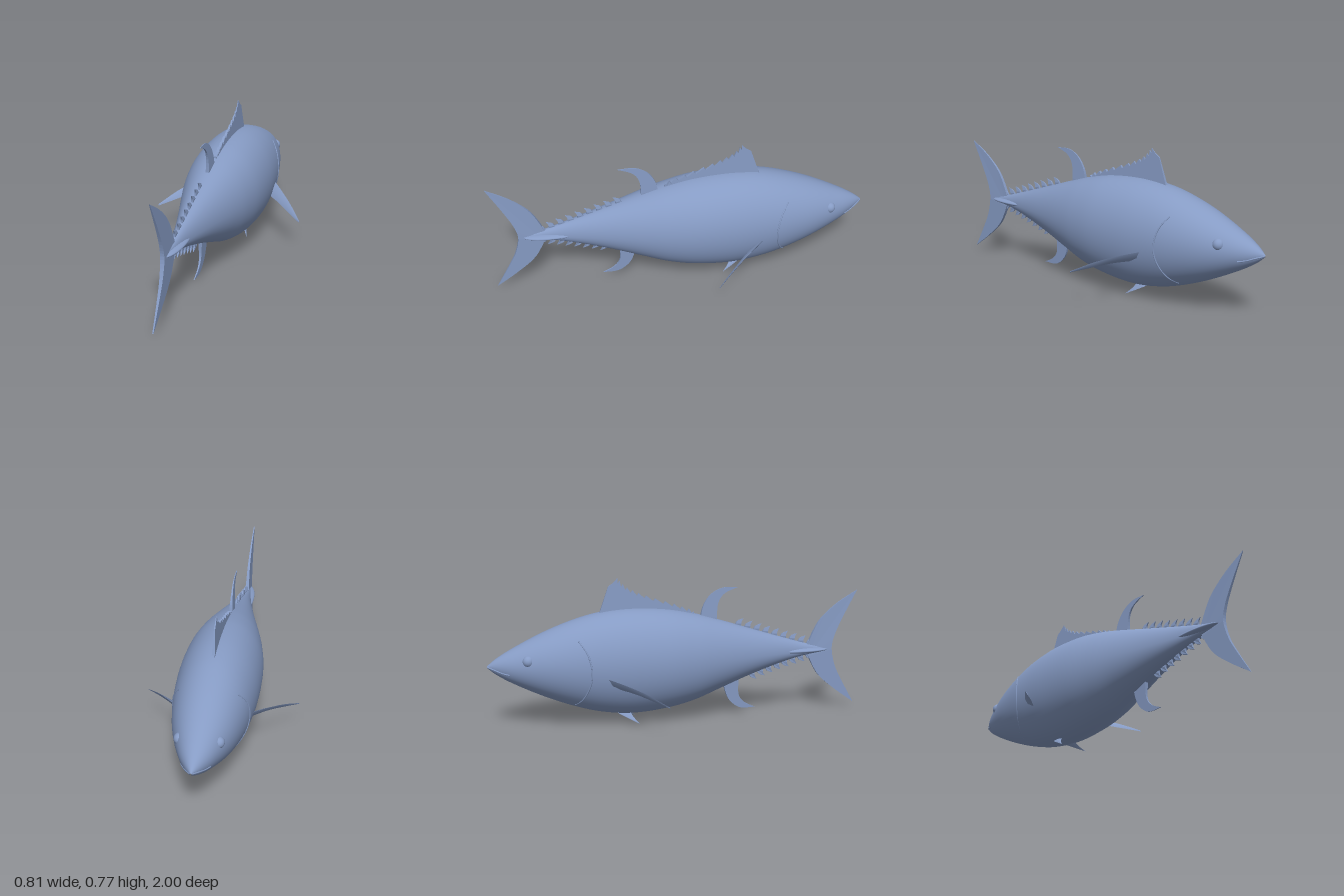
import * as THREE from 'three';
import { toCreasedNormals } from 'three/addons/utils/BufferGeometryUtils.js';

const V = (x, y, z) => new THREE.Vector3(x, y, z);
const MID = 0.335; // height of the widest line of the body

// body profile: z, top, bottom, half width
const PROFILE = [
  [-1, 0.339, 0.331, 0.003], [-0.96, 0.372, 0.297, 0.034], [-0.875, 0.422, 0.245, 0.082],
  [-0.71, 0.502, 0.165, 0.145], [-0.555, 0.56, 0.105, 0.182], [-0.42, 0.594, 0.068, 0.2],
  [-0.26, 0.609, 0.05, 0.21], [-0.07, 0.599, 0.066, 0.204], [0.08, 0.57, 0.1, 0.18],
  [0.2, 0.536, 0.146, 0.15], [0.4, 0.473, 0.222, 0.094], [0.6, 0.41, 0.285, 0.044],
  [0.73, 0.372, 0.314, 0.022], [0.85, 0.347, 0.324, 0.006],
];

// smooth interpolation of one profile column
function profile(z, k) {
  const P = PROFILE, n = P.length;
  let i = 0;
  while (i < n - 2 && z > P[i + 1][0]) i++;
  const slope = (j) => {
    const a = P[Math.max(j - 1, 0)], b = P[Math.min(j + 1, n - 1)];
    return (b[k] - a[k]) / (b[0] - a[0]);
  };
  const h = P[i + 1][0] - P[i][0], t = (z - P[i][0]) / h, t2 = t * t, t3 = t2 * t;
  return (2 * t3 - 3 * t2 + 1) * P[i][k] + (t3 - 2 * t2 + t) * h * slope(i)
    + (3 * t2 - 2 * t3) * P[i + 1][k] + (t3 - t2) * h * slope(i + 1);
}

// point on the body's flank at a given height
function onFlank(side, z, y) {
  const r = y > MID ? profile(z, 1) - MID : MID - profile(z, 2);
  const d = Math.min(1, Math.abs(y - MID) / r);
  return V(side * profile(z, 3) * Math.sqrt(1 - d * d), y, z);
}

// skin over closed rings of points
function loft(rings) {
  const m = rings[0].length, index = [];
  for (let i = 0; i < rings.length - 1; i++) {
    for (let j = 0; j < m; j++) {
      const a = i * m + j, b = i * m + (j + 1) % m;
      index.push(a, b, a + m, b, b + m, a + m);
    }
  }
  const geo = new THREE.BufferGeometry().setFromPoints(rings.flat());
  geo.setIndex(index);
  geo.computeVertexNormals();
  return geo;
}

// paired fin: lens-shaped sections between an upper and a lower edge
function blade(upper, lower, thick, side) {
  const edge = (pts) => new THREE.CatmullRomCurve3(pts.map(([x, y, z]) => V(side * x, y, z))).getPoints(12);
  const U = edge(upper), L = edge(lower);
  const mids = U.map((u, i) => u.clone().add(L[i]).multiplyScalar(0.5));
  const dir = mids[12].clone().sub(mids[0]);
  const n = dir.cross(U[0].clone().sub(L[0])).normalize();
  return toCreasedNormals(loft(U.map((u, i) => {
    const t = thick * (1 - 0.85 * i / 12);
    return [u, mids[i].clone().addScaledVector(n, t), L[i], mids[i].clone().addScaledVector(n, -t)];
  })), 0.6);
}

// median fin: outline of splines in (z, y), tapering in thickness from yBase to yTip
function medianFin(curves, yBase, yTip, thick) {
  const pts = curves.flatMap((c) => {
    const v = c.map(([z, y]) => new THREE.Vector2(z, y));
    return v.length > 2 ? new THREE.SplineCurve(v).getPoints(v.length * 4) : v;
  }).filter((p, i, all) => i === 0 || p.distanceTo(all[i - 1]) > 1e-5);
  const geo = new THREE.ExtrudeGeometry(new THREE.Shape(pts), { depth: 2, bevelEnabled: false });
  geo.translate(0, 0, -1).rotateY(-Math.PI / 2);
  const p = geo.attributes.position;
  for (let i = 0; i < p.count; i++) {
    const t = Math.min(1, Math.abs(p.getY(i) - yBase) / Math.abs(yTip - yBase));
    p.setX(i, p.getX(i) * thick * (1 - 0.8 * t));
  }
  geo.computeVertexNormals();
  return geo;
}

export function createModel() {
  const group = new THREE.Group();
  const skin = new THREE.MeshStandardMaterial({ color: 0x869bc4 });
  skin.name = 'blueGreySkin';
  const add = (name, geo) => {
    const mesh = new THREE.Mesh(geo, skin);
    mesh.name = name;
    group.add(mesh);
    return mesh;
  };

  // body
  const rings = [];
  for (let i = 0; i <= 90; i++) {
    const z = -1 + 1.85 * i / 90;
    const top = profile(z, 1) - MID, bottom = MID - profile(z, 2), w = profile(z, 3);
    rings.push(Array.from({ length: 56 }, (_, j) => {
      const a = j / 56 * Math.PI * 2, s = Math.sin(a);
      return V(w * Math.cos(a), MID + s * (s > 0 ? top : bottom), z);
    }));
  }
  add('body', loft(rings));

  // keel across the tail stalk
  const keel = add('tailKeel', new THREE.SphereGeometry(1, 32, 20));
  keel.scale.set(0.047, 0.016, 0.17);
  keel.position.set(0, 0.338, 0.67);

  // first dorsal fin with a stepped rear edge
  const steps = [];
  const rear = new THREE.SplineCurve([[-0.32, 0.765], [-0.27, 0.715], [-0.17, 0.668], [-0.02, 0.618], [0.085, 0.578]]
    .map(([z, y]) => new THREE.Vector2(z, y)));
  for (let i = 0; i <= 12; i++) {
    const p = rear.getPoint(i / 12);
    if (i > 0) steps.push([p.x - 0.01, p.y - 0.008]);
    steps.push([p.x, p.y + (i < 12 ? 0.006 : 0)]);
  }
  const dorsal = [[[-0.43, 0.57], [-0.412, 0.605]], [[-0.37, 0.728], [-0.345, 0.745]]];
  for (let i = 0; i < steps.length; i += 2) dorsal.push(steps.slice(i, i + 2));
  dorsal.push([[0.085, 0.55], [-0.1, 0.58]]);
  add('firstDorsalFin', medianFin(dorsal, 0.56, 0.77, 0.009));

  // sickle-shaped second dorsal and anal fins
  add('secondDorsalFin', medianFin([
    [[0.12, 0.54], [0.135, 0.605], [0.175, 0.665], [0.24, 0.7], [0.325, 0.7]],
    [[0.325, 0.7], [0.25, 0.668], [0.215, 0.61], [0.21, 0.51]],
  ], 0.53, 0.7, 0.01));
  add('analFin', medianFin([
    [[0.25, 0.19], [0.258, 0.14], [0.285, 0.08], [0.345, 0.035], [0.43, 0.033]],
    [[0.43, 0.033], [0.368, 0.065], [0.335, 0.115], [0.335, 0.21]],
  ], 0.2, 0.03, 0.01));

  // crescent tail fin
  add('tailFin', medianFin([
    [[0.72, 0.365], [0.785, 0.495], [0.885, 0.59], [1, 0.66]],
    [[1, 0.66], [0.92, 0.51], [0.875, 0.41], [0.862, 0.335], [0.885, 0.24], [0.93, 0.15], [1, 0.027]],
    [[1, 0.027], [0.885, 0.11], [0.785, 0.2], [0.72, 0.32]],
  ], MID, 0.66, 0.011));

  // rows of finlets above and below the tail stalk
  const finlet = (z, up) => {
    const y = profile(z, up > 0 ? 1 : 2);
    const at = ([dz, dy]) => [z + dz, y + up * dy];
    return medianFin([
      [[0, -0.01], [0.015, 0.016], [0.048, 0.028]].map(at),
      [[0.048, 0.028], [0.036, 0.006], [0.036, -0.022]].map(at),
    ], y, y + up * 0.03, 0.006);
  };
  for (let i = 0; i < 9; i++) add('upperFinlet', finlet(0.31 + i * 0.0505, 1));
  for (let i = 0; i < 8; i++) add('lowerFinlet', finlet(0.39 + i * 0.0455, -1));

  for (const side of [1, -1]) {
    const name = side > 0 ? 'left' : 'right';

    // pectoral and pelvic fins
    add(name + 'PectoralFin', blade(
      [[0.185, 0.29, -0.42], [0.25, 0.268, -0.335], [0.33, 0.232, -0.23], [0.405, 0.182, -0.13]],
      [[0.185, 0.225, -0.34], [0.25, 0.216, -0.275], [0.33, 0.194, -0.195], [0.405, 0.174, -0.125]], 0.01, side));
    add(name + 'PelvicFin', blade(
      [[0.04, 0.07, -0.35], [0.06, 0.043, -0.3], [0.084, 0.005, -0.225]],
      [[0.04, 0.07, -0.27], [0.06, 0.04, -0.255], [0.084, 0.004, -0.222]], 0.006, side));

    // eye
    const eye = add(name + 'Eye', new THREE.SphereGeometry(0.03, 24, 16));
    eye.position.copy(onFlank(side, -0.795, 0.375));
    eye.position.x -= side * 0.018;

    // gill cover edge and mouth line
    const ridge = (part, pts, r) => add(name + part, new THREE.TubeGeometry(
      new THREE.CatmullRomCurve3(pts.map(([z, y]) => onFlank(side, z, y))), 40, r, 8));
    ridge('GillEdge', [[-0.545, 0.48], [-0.51, 0.43], [-0.49, 0.37], [-0.485, 0.3],
      [-0.5, 0.23], [-0.53, 0.165], [-0.56, 0.13]], 0.004);
    ridge('MouthLine', [[-0.997, 0.334], [-0.96, 0.322], [-0.925, 0.309], [-0.89, 0.302]], 0.004);
  }
  return group;
}
